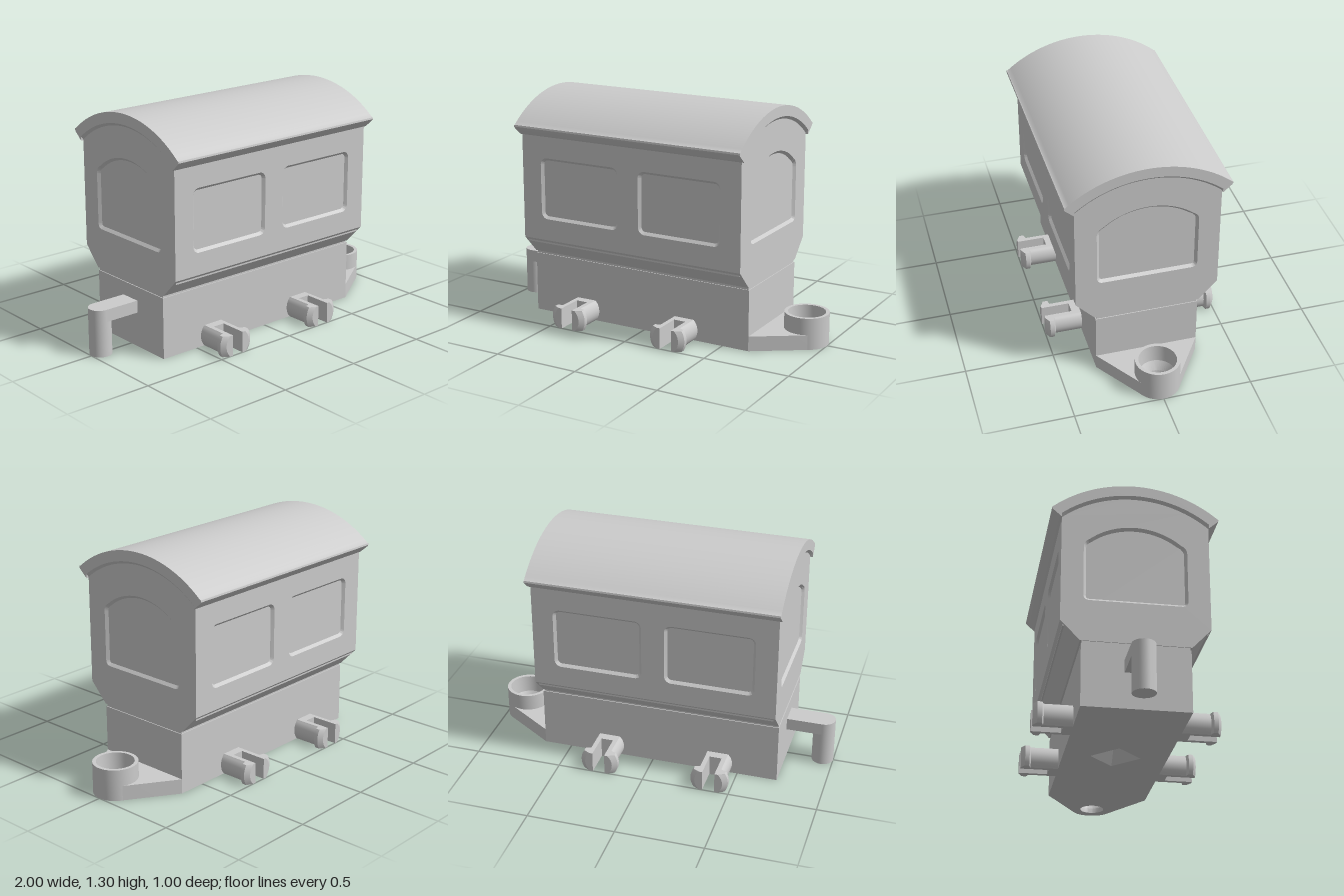
import * as THREE from 'three';
import { toCreasedNormals } from 'three/addons/utils/BufferGeometryUtils.js';

const grey = new THREE.MeshStandardMaterial({ color: 0xcccccc });
const greyDouble = new THREE.MeshStandardMaterial({ color: 0xcccccc, side: THREE.DoubleSide });

// Main dimensions
const X0 = -0.73, X1 = 0.66, XC = (X0 + X1) / 2, LEN = X1 - X0;
const WALL = 0.4, DEPTH = 0.015;
const ARC_Y = 0.606, ARC_R = 0.624; // arc along the top of the end walls

const v2 = (x, y) => new THREE.Vector2(x, y);

function add(parent, name, geometry, x = 0, y = 0, z = 0, material = grey) {
  const mesh = new THREE.Mesh(geometry, material);
  mesh.name = name;
  mesh.position.set(x, y, z);
  parent.add(mesh);
  return mesh;
}

const box = (parent, name, w, h, d, x, y, z) =>
  add(parent, name, new THREE.BoxGeometry(w, h, d), x, y + h / 2, z);

const extrude = (shape, depth) => toCreasedNormals(
  new THREE.ExtrudeGeometry(shape, { depth, bevelEnabled: false, curveSegments: 32 }), 0.5);

// Points of an arc about (0, cy), from +x to -x
function arc(cy, r, halfWidth, n = 40) {
  const a = Math.asin(halfWidth / r);
  return Array.from({ length: n + 1 }, (_, i) => {
    const t = a - (2 * a * i) / n;
    return v2(r * Math.sin(t), cy + r * Math.cos(t));
  });
}

// Skin between successive rings of 3D points
function loft(rings, closed = true) {
  const pos = [];
  for (let k = 0; k + 1 < rings.length; k++) {
    const a = rings[k], b = rings[k + 1], n = a.length;
    for (let i = 0; i < (closed ? n : n - 1); i++) {
      const j = (i + 1) % n;
      for (const p of [a[i], a[j], b[j], a[i], b[j], b[i]]) pos.push(p.x, p.y, p.z);
    }
  }
  const g = new THREE.BufferGeometry();
  g.setAttribute('position', new THREE.Float32BufferAttribute(pos, 3));
  g.computeVertexNormals();
  return toCreasedNormals(g, 0.5);
}

const lift = (pts, z) => pts.map(p => new THREE.Vector3(p.x, p.y, z));

// Move a counter-clockwise closed outline inwards
function inset(pts, d) {
  const n = pts.length;
  return pts.map((p, i) => {
    const t = pts[(i + 1) % n].clone().sub(p).normalize()
      .add(p.clone().sub(pts[(i + n - 1) % n]).normalize()).normalize();
    return v2(p.x - t.y * d, p.y + t.x * d);
  });
}

function cleanPoints(shape) {
  const pts = shape.getPoints(10);
  return pts.filter((p, i) => p.distanceTo(pts[(i + 1) % pts.length]) > 1e-4);
}

function sideWindow(x0, x1, y0, y1, r = 0.04) {
  const s = new THREE.Shape();
  s.absarc(x1 - r, y0 + r, r, -Math.PI / 2, 0, false);
  s.absarc(x1 - r, y1 - r, r, 0, Math.PI / 2, false);
  s.absarc(x0 + r, y1 - r, r, Math.PI / 2, Math.PI, false);
  s.absarc(x0 + r, y0 + r, r, Math.PI, Math.PI * 1.5, false);
  return cleanPoints(s);
}

function endWindow() {
  const a = Math.atan2(0.3, 0.25);
  const s = new THREE.Shape();
  s.moveTo(-0.245, 0.6);
  s.lineTo(0.245, 0.6);
  s.quadraticCurveTo(0.28, 0.6, 0.28, 0.635);
  s.lineTo(0.28, 0.915);
  s.quadraticCurveTo(0.28, 0.95, 0.25, 0.965);
  s.absarc(0, 0.665, 0.39, a, Math.PI - a, false);
  s.quadraticCurveTo(-0.28, 0.95, -0.28, 0.915);
  s.lineTo(-0.28, 0.635);
  s.quadraticCurveTo(-0.28, 0.6, -0.245, 0.6);
  return cleanPoints(s);
}

// Flat wall facing +z with bevelled window recesses
function wall(name, outline, windows) {
  const g = new THREE.Group();
  g.name = name;
  const shape = new THREE.Shape(outline);
  for (const w of windows) {
    shape.holes.push(new THREE.Path(w));
    add(g, 'windowBevel', loft([lift(w, 0), lift(inset(w, DEPTH), -DEPTH)]), 0, 0, 0, greyDouble);
  }
  add(g, 'wallFace', new THREE.ShapeGeometry(shape));
  return g;
}

// Split axle stub with two flared prongs, pointing along +z
function axleStub() {
  const g = new THREE.Group();
  g.name = 'axleStub';
  const section = r => {
    const a = Math.asin(0.06 / r), pts = [v2(0.035, 0.06), v2(0.035, -0.06)];
    for (let i = 0; i <= 12; i++) {
      const t = -a + (2 * a * i) / 12;
      pts.push(v2(r * Math.cos(t), r * Math.sin(t)));
    }
    return pts;
  };
  const stations = [[0.28, 0.085], [0.445, 0.085], [0.455, 0.108], [0.48, 0.108], [0.5, 0.08]];
  for (const turn of [0, Math.PI]) {
    const prong = new THREE.Group();
    prong.name = 'prong';
    add(prong, 'prongSide', loft(stations.map(([z, r]) => lift(section(r), z))), 0, 0, 0, greyDouble);
    add(prong, 'prongTip', new THREE.ShapeGeometry(new THREE.Shape(section(0.08))), 0, 0, 0.5);
    prong.rotation.z = turn;
    g.add(prong);
  }
  box(g, 'stubRoot', 0.07, 0.12, 0.06, 0, -0.06, 0.31);
  return g;
}

export function createModel() {
  const model = new THREE.Group();
  model.name = 'railCarriage';

  // Chassis with a tapered diamond pocket underneath
  const diamond = (r, y) => [0, 1, 2, 3].map(i =>
    new THREE.Vector3(r * Math.cos(i * Math.PI / 2), y, r * Math.sin(i * Math.PI / 2)));
  const floor = new THREE.Shape([v2(-LEN / 2, -0.29), v2(LEN / 2, -0.29), v2(LEN / 2, 0.29), v2(-LEN / 2, 0.29)]);
  floor.holes.push(new THREE.Path(diamond(0.14, 0).map(p => v2(p.x, p.z))));
  add(model, 'chassisFloor', extrude(floor, 0.09).rotateX(-Math.PI / 2), XC);
  add(model, 'floorPocket', loft([diamond(0.14, 0), diamond(0.05, 0.09)]), XC, 0, 0, greyDouble);
  box(model, 'chassis', LEN, 0.26, 0.58, XC, 0.09, 0);
  box(model, 'chassisNeck', LEN - 0.01, 0.03, 0.57, XC, 0.34, 0);

  // Cabin: sloping skirt, recessed core and four walls
  const skirt = new THREE.Shape([v2(-0.295, 0.365), v2(0.295, 0.365), v2(WALL, 0.475), v2(-WALL, 0.475)]);
  add(model, 'cabinSkirt', extrude(skirt, LEN).rotateY(Math.PI / 2), X0);
  box(model, 'cabinCore', LEN - 2 * DEPTH, 0.62, 2 * (WALL - DEPTH), XC, 0.45, 0);
  const sideOutline = [v2(-LEN / 2, 0.475), v2(LEN / 2, 0.475), v2(LEN / 2, 1.09), v2(-LEN / 2, 1.09)];
  const endOutline = [v2(-WALL, 0.475), v2(WALL, 0.475), ...arc(ARC_Y, ARC_R, WALL)];
  for (const s of [1, -1]) {
    const side = wall('sideWall', sideOutline,
      [sideWindow(-0.573, -0.065, 0.6, 0.957), sideWindow(0.065, 0.573, 0.6, 0.957)]);
    side.position.set(XC, 0, s * WALL);
    side.rotation.y = s > 0 ? 0 : Math.PI;
    const end = wall('endWall', endOutline, [endWindow()]);
    end.position.x = s > 0 ? X1 : X0;
    end.rotation.y = s * Math.PI / 2;
    model.add(side, end);
  }

  // Curved roof, with a chamfer under each end overhang
  const innerArc = arc(ARC_Y, ARC_R + DEPTH, WALL);
  const roof = new THREE.Shape([
    v2(-WALL, 1.08), v2(-0.448, 1.122), v2(-0.455, 1.131), v2(-0.453, 1.141),
    ...arc(0.609, 0.696, 0.447).reverse(),
    v2(0.453, 1.141), v2(0.455, 1.131), v2(0.448, 1.122), v2(WALL, 1.08), ...innerArc]);
  add(model, 'roof', extrude(roof, LEN + 2 * DEPTH).rotateY(Math.PI / 2), X0 - DEPTH);
  for (const s of [1, -1]) {
    const chamfer = loft([lift(arc(ARC_Y, ARC_R, WALL), 0), lift(innerArc, DEPTH)], false);
    add(model, 'roofChamfer', chamfer, s > 0 ? X1 : X0, 0, 0, greyDouble).rotation.y = s * Math.PI / 2;
  }

  // Coupling eye: tapered bracket and hollow socket
  const eyeX = 0.875, tangent = 0.993;
  const bracket = new THREE.Shape();
  bracket.moveTo(0.65, -0.29);
  bracket.lineTo(0.66, -0.29);
  bracket.absarc(eyeX, 0, 0.124, -tangent, tangent, false);
  bracket.lineTo(0.66, 0.29);
  bracket.lineTo(0.65, 0.29);
  bracket.holes.push(new THREE.Path().absarc(eyeX, 0, 0.118, 0, Math.PI * 2, true));
  add(model, 'couplingBracket', extrude(bracket, 0.085).rotateX(-Math.PI / 2));
  const socket = [[0.07, 0], [0.125, 0], [0.125, 0.18], [0.105, 0.18], [0.1, 0.08], [0.073, 0.03], [0.07, 0]];
  add(model, 'couplingSocket', toCreasedNormals(
    new THREE.LatheGeometry(socket.map(p => v2(...p)), 48), 0.4), eyeX, 0, 0, greyDouble);

  // Coupling hook: arm and downward pin
  box(model, 'couplingArm', 0.22, 0.07, 0.125, -0.8275, 0.2, 0);
  add(model, 'couplingPin', new THREE.CylinderGeometry(0.0625, 0.0625, 0.27, 40), -0.9375, 0.135);

  // Axle stubs, two on each side
  for (const x of [-0.385, 0.26]) {
    for (const s of [1, -1]) {
      const stub = axleStub();
      stub.position.set(x, 0.06, 0);
      stub.rotation.y = s > 0 ? 0 : Math.PI;
      model.add(stub);
    }
  }
  return model;
}
